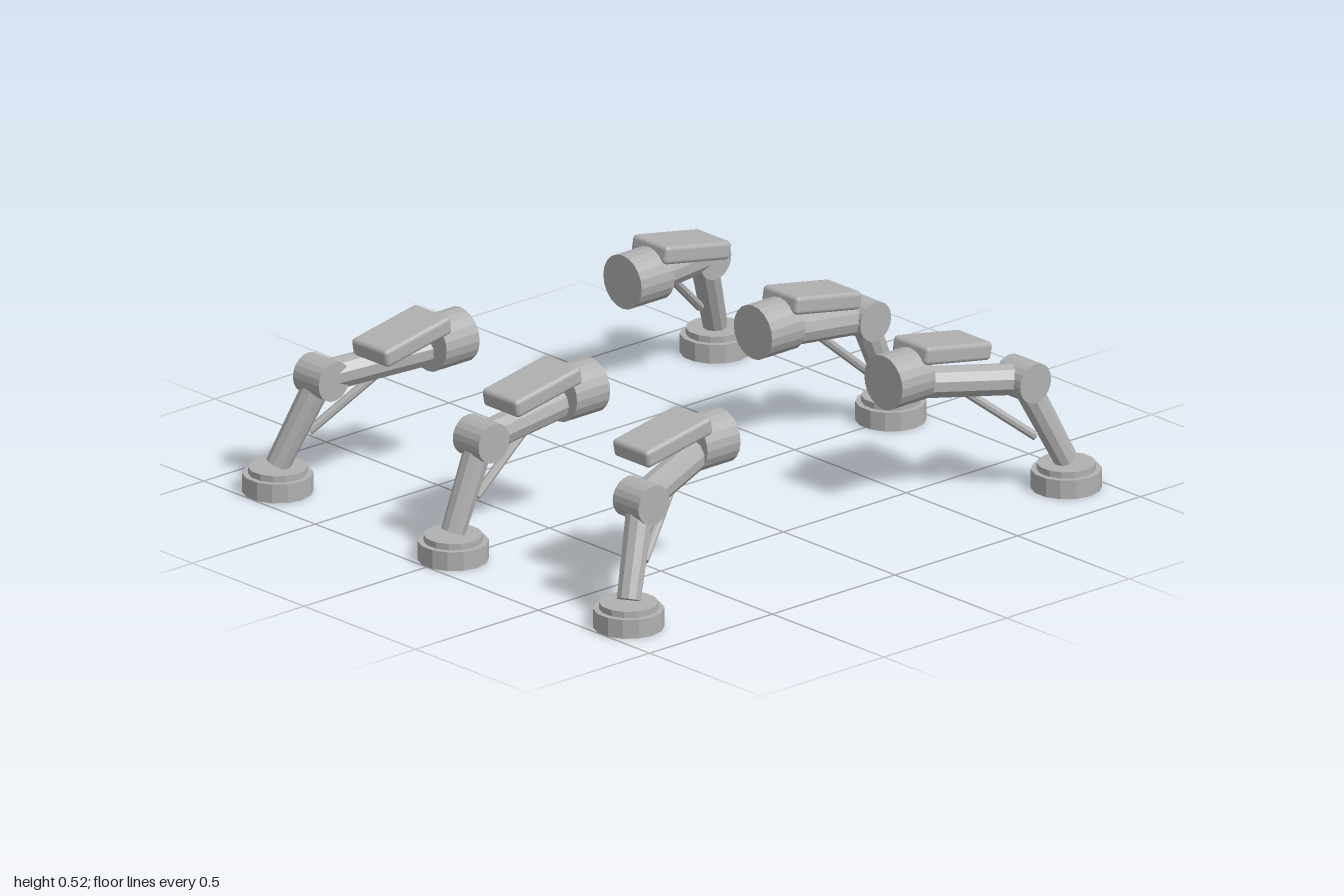
import * as THREE from 'three';
import { RoundedBoxGeometry } from 'three/addons/geometries/RoundedBoxGeometry.js';

const metal = new THREE.MeshStandardMaterial({ color: 0xb0b0b0 });
const UP = new THREE.Vector3(0, 1, 0);

// Faceted rod running from point a (radius ra) to point b (radius rb)
function rod(name, a, b, ra, rb, sides) {
  const from = new THREE.Vector3(...a);
  const to = new THREE.Vector3(...b);
  const dir = to.clone().sub(from);
  const geometry = new THREE.CylinderGeometry(rb, ra, dir.length(), sides).toNonIndexed();
  geometry.computeVertexNormals();
  const mesh = new THREE.Mesh(geometry, metal);
  mesh.name = name;
  mesh.position.copy(from).add(to).multiplyScalar(0.5);
  mesh.quaternion.setFromUnitVectors(UP, dir.normalize());
  return mesh;
}

// One leg: s is the side (+1 left, -1 right), row is -1 back, 0 middle, 1 front
function makeLeg(s, row) {
  const leg = new THREE.Group();
  const hipZ = 0.585 * row;
  const kneeZ = 0.717 * row;
  const footZ = 0.787 * row;
  const footX = 0.892 * s;

  // Hip motor drum, lying along x
  leg.add(rod('hip', [0.33 * s, 0.421, hipZ], [0.465 * s, 0.421, hipZ], 0.086, 0.086, 20));

  // Upper leg, knee barrel and lower leg
  leg.add(rod('upperLeg', [0.4 * s, 0.402, hipZ], [0.778 * s, 0.358, kneeZ], 0.05, 0.05, 10));
  leg.add(rod('knee', [0.778 * s, 0.358, kneeZ - 0.058], [0.778 * s, 0.358, kneeZ + 0.058], 0.063, 0.063, 20));
  leg.add(rod('lowerLeg', [0.778 * s, 0.358, kneeZ], [footX, 0.086, footZ], 0.044, 0.038, 10));

  // Thin piston under the upper leg
  leg.add(rod('piston', [0.55 * s, 0.384, 0.636 * row], [0.797 * s, 0.178, 0.752 * row], 0.014, 0.014, 8));

  // Sloping armour plate over the upper leg
  const armour = new THREE.Mesh(new RoundedBoxGeometry(0.272, 0.058, 0.16, 2, 0.014), metal);
  armour.name = 'armour';
  armour.position.set(0.57 * s, 0.474, hipZ);
  armour.rotation.z = -0.18 * s;
  leg.add(armour);

  // Foot pad with a smaller plate on top
  leg.add(rod('footPad', [footX, 0, footZ], [footX, 0.06, footZ], 0.108, 0.108, 14));
  leg.add(rod('footPlate', [footX, 0.055, footZ], [footX, 0.08, footZ], 0.09, 0.09, 14));
  return leg;
}

export function createModel() {
  const model = new THREE.Group();
  model.name = 'sixLegs';
  const rows = { back: -1, middle: 0, front: 1 };
  for (const [rowName, row] of Object.entries(rows)) {
    for (const s of [1, -1]) {
      const leg = makeLeg(s, row);
      leg.name = rowName + (s > 0 ? 'LeftLeg' : 'RightLeg');
      model.add(leg);
    }
  }
  return model;
}
